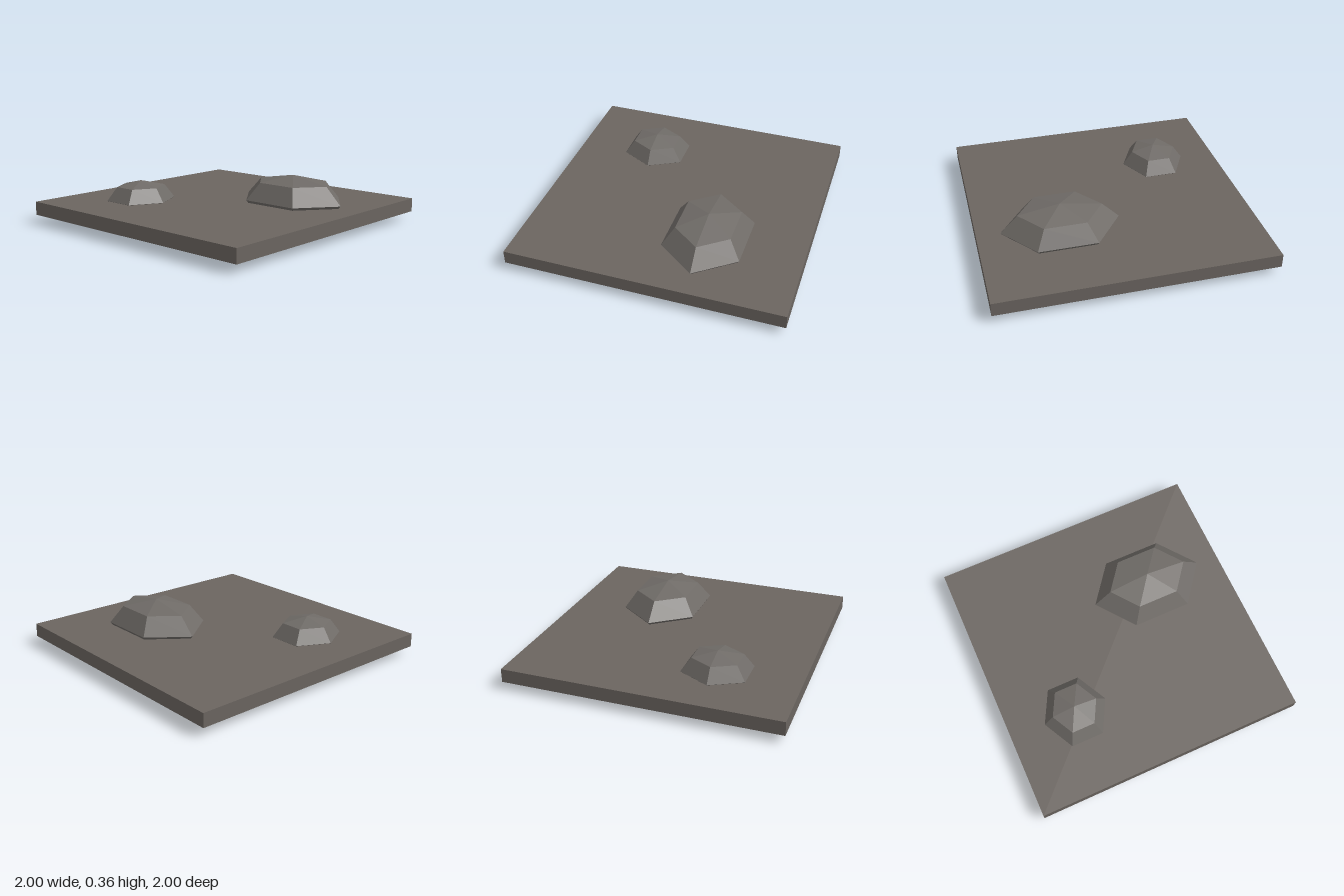
import * as THREE from 'three';

export function createModel() {
  const group = new THREE.Group();

  // Square ground slab
  const slab = new THREE.Mesh(
    new THREE.BoxGeometry(2, 0.1, 2),
    new THREE.MeshStandardMaterial({ color: 0x6b6560 })
  );
  slab.name = 'groundSlab';
  slab.position.y = 0.11;
  group.add(slab);

  // Faceted stones: squashed six-sided spheres sunk through the slab
  const stoneMaterial = new THREE.MeshStandardMaterial({ color: 0x6f6b67, flatShading: true });
  const addStone = (name, position, radii) => {
    const geometry = new THREE.SphereGeometry(1, 6, 4).scale(...radii);
    const stone = new THREE.Mesh(geometry, stoneMaterial);
    stone.name = name;
    stone.position.set(...position);
    group.add(stone);
  };
  addStone('largeStone', [0.4, 0.18, -0.3], [0.43, 0.18, 0.324]);
  addStone('smallStone', [-0.5, 0.162, 0.4], [0.24, 0.142, 0.265]);

  return group;
}
